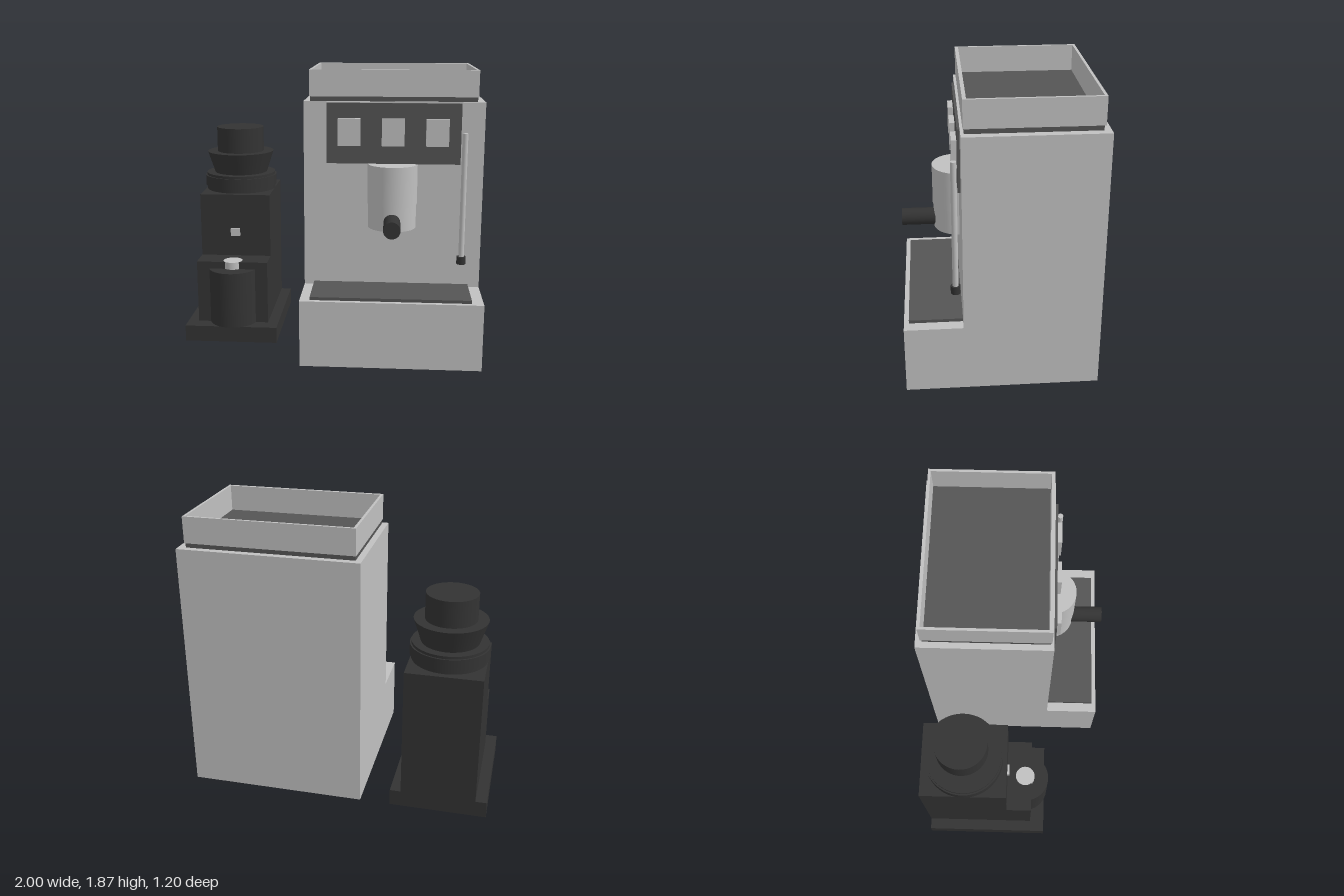
import * as THREE from 'three';

const flat = (name, color) => {
  const m = new THREE.MeshStandardMaterial({ color });
  m.name = name;
  return m;
};

export function createModel() {
  const steel = flat('steel', 0xc0c0c0);
  const darkGrey = flat('dark grey', 0x555555);
  const black = flat('black', 0x333333);

  const model = new THREE.Group();
  const machine = new THREE.Group();
  machine.name = 'espressoMachine';
  const grinder = new THREE.Group();
  grinder.name = 'grinder';
  model.add(machine, grinder);

  const add = (parent, name, geometry, material) => {
    const mesh = new THREE.Mesh(geometry, material);
    mesh.name = name;
    parent.add(mesh);
    return mesh;
  };
  // box given by its extents on each axis
  const box = (parent, name, material, [x0, x1], [y0, y1], [z0, z1]) => {
    const g = new THREE.BoxGeometry(x1 - x0, y1 - y0, z1 - z0);
    g.translate((x0 + x1) / 2, (y0 + y1) / 2, (z0 + z1) / 2);
    return add(parent, name, g, material);
  };
  // upright cylinder or cone between two heights
  const post = (parent, name, material, x, z, [y0, y1], rBottom, rTop = rBottom) => {
    const g = new THREE.CylinderGeometry(rTop, rBottom, y1 - y0, 48);
    g.translate(x, (y0 + y1) / 2, z);
    return add(parent, name, g, material);
  };

  // L-shaped machine body, profile drawn in (z, y) and swept along x
  const profile = new THREE.Shape(
    [[-0.6, 0], [0.6, 0], [0.6, 0.44], [0.24, 0.44], [0.24, 1.67], [-0.6, 1.67]]
      .map(([z, y]) => new THREE.Vector2(z, y)));
  const body = new THREE.ExtrudeGeometry(profile, { depth: 1.165, bevelEnabled: false });
  body.rotateY(-Math.PI / 2).translate(1, 0, 0);
  add(machine, 'body', body, steel);

  // cup warmer: dark floor with an open steel rail above it
  box(machine, 'cupWarmerFloor', darkGrey, [-0.125, 0.95], [1.67, 1.70], [-0.557, 0.22]);
  const rect = (path, x0, x1, y0, y1) =>
    path.moveTo(x0, y0).lineTo(x1, y0).lineTo(x1, y1).lineTo(x0, y1).closePath();
  const rail = new THREE.Shape();
  rect(rail, -0.13, 0.955, -0.227, 0.567);
  const opening = new THREE.Path();
  rect(opening, -0.113, 0.938, -0.205, 0.55);
  rail.holes.push(opening);
  const railGeometry = new THREE.ExtrudeGeometry(rail, { depth: 0.17, bevelEnabled: false });
  railGeometry.rotateX(-Math.PI / 2).translate(0, 1.70, 0);
  add(machine, 'cupWarmerRail', railGeometry, steel);

  // control panel and its buttons
  box(machine, 'controlPanel', darkGrey, [-0.016, 0.85], [1.27, 1.662], [0.23, 0.256]);
  for (const x of [0.132, 0.415, 0.698]) {
    box(machine, 'button', steel, [x - 0.073, x + 0.073], [1.39, 1.565], [0.25, 0.288]);
  }

  // group head, filter holder and handle
  post(machine, 'groupHead', steel, 0.415, 0.24, [1.01, 1.27], 0.162);
  post(machine, 'filterHolder', steel, 0.415, 0.24, [0.85, 1.01], 0.157);
  const handle = new THREE.CylinderGeometry(0.054, 0.054, 0.26, 32);
  handle.rotateX(Math.PI / 2).translate(0.415, 0.912, 0.47);
  add(machine, 'handle', handle, black);

  // steam wand
  post(machine, 'steamWand', steel, 0.873, 0.28, [0.66, 1.477], 0.018);
  post(machine, 'steamTip', black, 0.873, 0.28, [0.614, 0.664], 0.03);

  box(machine, 'dripTray', darkGrey, [-0.1, 0.925], [0.43, 0.46], [0.235, 0.57]);

  // grinder housing
  box(grinder, 'grinderBase', black, [-1, -0.365], [0, 0.11], [-0.6, 0.235]);
  box(grinder, 'tower', black, [-0.927, -0.437], [0.11, 0.985], [-0.6, -0.035]);
  box(grinder, 'frontBlock', black, [-0.927, -0.437], [0.11, 0.545], [-0.035, 0.135]);
  box(grinder, 'display', steel, [-0.715, -0.65], [0.69, 0.745], [-0.04, -0.02]);

  // hopper stack
  const hx = -0.682, hz = -0.315;
  post(grinder, 'collar', black, hx, hz, [0.985, 1.105], 0.245);
  post(grinder, 'collarRing', black, hx, hz, [1.013, 1.087], 0.255);
  post(grinder, 'hopper', black, hx, hz, [1.105, 1.256], 0.187, 0.236);
  post(grinder, 'hopperLid', black, hx, hz, [1.256, 1.43], 0.166);

  // dosing cup and its spout
  post(grinder, 'dosingCup', black, hx, 0.088, [0.11, 0.496], 0.166);
  post(grinder, 'spout', steel, hx, 0.09, [0.496, 0.546], 0.066);

  return model;
}
